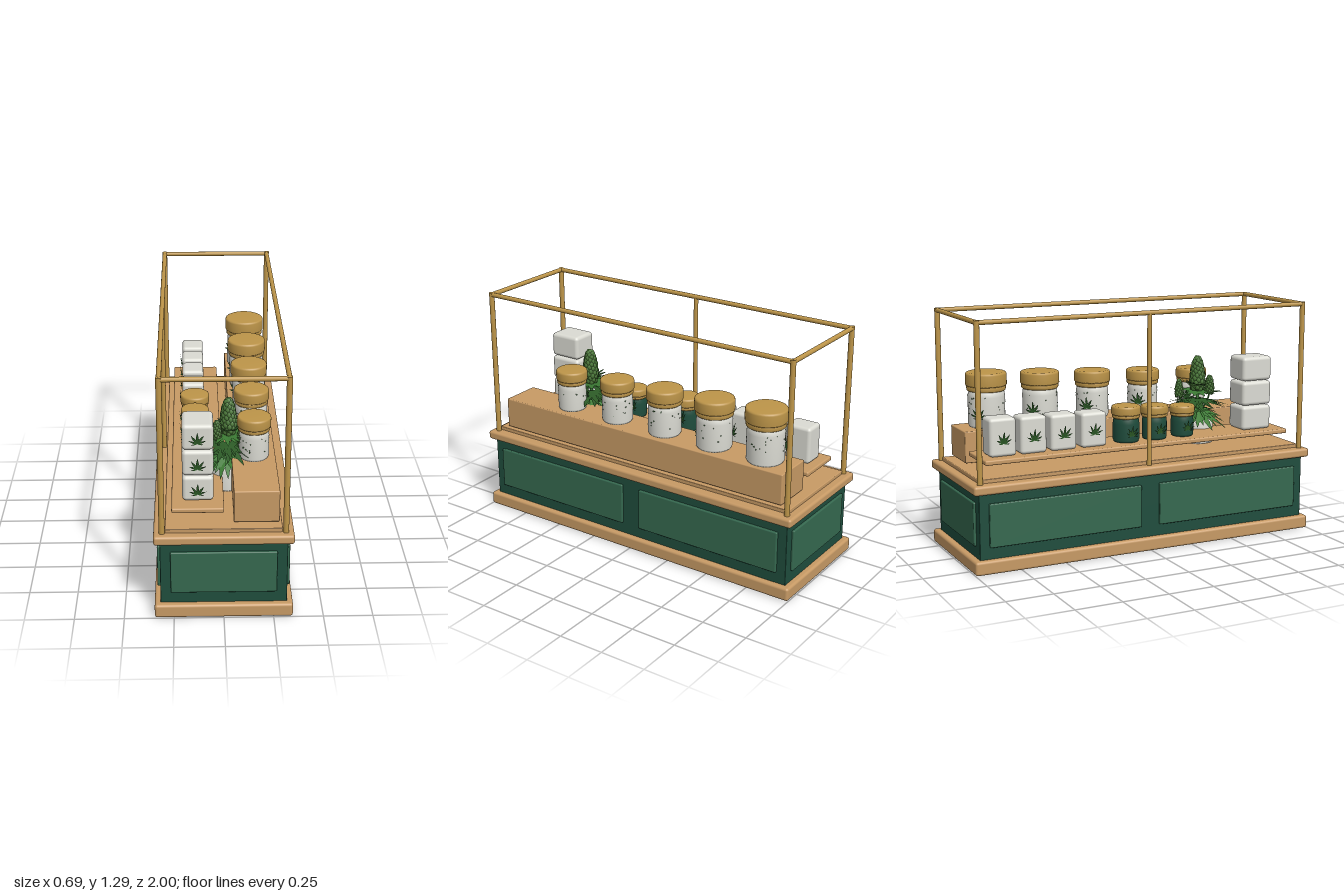
import * as THREE from 'three';
import { mergeGeometries } from 'three/addons/utils/BufferGeometryUtils.js';
import { RoundedBoxGeometry } from 'three/addons/geometries/RoundedBoxGeometry.js';

const mat = (name, color, extra = {}) => {
  const m = new THREE.MeshStandardMaterial({ color, ...extra });
  m.name = name;
  return m;
};

export function createModel() {
  const wood = mat('wood', 0xc79a65);
  const gold = mat('brass', 0xbd9549);
  const green = mat('dark green', 0x1f4d3d);
  const panelGreen = mat('panel green', 0x35684f);
  const white = mat('ceramic white', 0xdbdbd3);
  const leafGreen = mat('leaf green', 0x3c7a34, { side: THREE.DoubleSide });
  const darkLeaf = mat('emblem green', 0x2c5a26, { side: THREE.DoubleSide });
  const budGreen = mat('bud green', 0x4b7a38);

  const root = new THREE.Group();
  root.name = 'displayCounter';
  let seed = 7;
  const rand = () => (seed = (seed * 16807) % 2147483647) / 2147483647;

  const add = (name, geo, material, x = 0, y = 0, z = 0, parent = root) => {
    const m = new THREE.Mesh(geo, material);
    m.name = name;
    m.position.set(x, y, z);
    parent.add(m);
    return m;
  };
  // Rounded box given by its limits on each axis
  const block = (name, material, [x0, x1], [y0, y1], [z0, z1], r = 0.008) =>
    add(name, new RoundedBoxGeometry(x1 - x0, y1 - y0, z1 - z0, 3, r), material,
      (x0 + x1) / 2, (y0 + y1) / 2, (z0 + z1) / 2);

  // Cabinet
  block('plinth', wood, [-0.347, 0.347], [0, 0.073], [-1, 1], 0.014);
  block('cabinetBody', green, [-0.317, 0.317], [0.07, 0.42], [-0.967, 0.967], 0.004);
  block('countertop', wood, [-0.347, 0.347], [0.416, 0.465], [-1, 1], 0.014);
  block('counterInlay', wood, [-0.29, 0.29], [0.46, 0.485], [-0.955, 0.955], 0.004);
  for (const s of [-1, 1]) {
    block('endPanel', panelGreen, [-0.265, 0.265], [0.135, 0.365], [s * 0.967 - 0.013, s * 0.967 + 0.013], 0.006);
    for (const t of [-1, 1]) {
      block('sidePanel', panelGreen, [s * 0.317 - 0.015, s * 0.317 + 0.015], [0.135, 0.365],
        [t * 0.485 - 0.43, t * 0.485 + 0.43], 0.006);
    }
  }

  // Brass frame
  const bar = (name, a, b, r = 0.0145) => {
    const from = new THREE.Vector3(...a), to = new THREE.Vector3(...b);
    const m = add(name, new THREE.CylinderGeometry(r, r, from.distanceTo(to), 16), gold);
    m.position.copy(from).add(to).multiplyScalar(0.5);
    m.quaternion.setFromUnitVectors(new THREE.Vector3(0, 1, 0), to.sub(from).normalize());
  };
  const fx = 0.305, fz = 0.955, top = 1.282;
  for (const s of [-1, 1]) {
    for (const t of [-1, 1]) bar('cornerPost', [s * fx, 0.46, t * fz], [s * fx, 1.293, t * fz]);
    bar('sideRail', [s * fx, top, -fz], [s * fx, top, fz], 0.0125);
    bar('endRail', [-fx, top, s * fz], [fx, top, s * fz], 0.0125);
  }
  bar('middlePost', [-fx, 0.46, 0], [-fx, top, 0], 0.0125);

  // Display levels
  block('riser', wood, [0.05, 0.277], [0.493, 0.663], [-0.905, 0.905], 0.006);
  block('shelf', wood, [-0.257, 0.003], [0.545, 0.571], [-0.905, 0.905], 0.008);

  // Seven-bladed leaf, unit height, growing towards +y and tipped forward
  const leafGeometry = (spread, curl) => {
    const blades = [];
    for (let i = -3; i <= 3; i++) {
      const len = [1, 0.9, 0.72, 0.48][Math.abs(i)], w = len * 0.11;
      const s = new THREE.Shape();
      s.moveTo(0, 0);
      const steps = 5;
      for (let side = 1; side >= -1; side -= 2) {
        for (let k = 1; k <= steps; k++) {
          const u = (side > 0 ? k : steps - k) / steps;
          const half = w * Math.sin(Math.PI * Math.pow(u, 0.8));
          if (side > 0 && k < steps) s.lineTo(half * 0.75, len * (u - 0.03));
          s.lineTo(side * half, len * u);
        }
      }
      const g = new THREE.ShapeGeometry(s);
      g.rotateX(curl);
      g.rotateZ(-i * spread);
      blades.push(g);
    }
    return mergeGeometries(blades);
  };
  const emblemGeo = leafGeometry(0.55, 0.22);
  const fanGeo = leafGeometry(0.5, 0.12);
  const emblem = (x, y, z, yaw, size) => {
    const m = add('leafEmblem', emblemGeo, darkLeaf, x, y, z);
    m.scale.setScalar(size);
    m.rotation.y = yaw;
  };

  // Stack of cartons, leaf on the front
  for (let i = 0; i < 3; i++) {
    const y = 0.572 + i * 0.139;
    block('stackedCarton', white, [-0.203, -0.048], [y, y + 0.135], [0.645, 0.83], 0.02);
    emblem(-0.126, y + 0.038, 0.832, 0, 0.068);
  }
  // Row of cartons, leaf on the outer side
  [-0.787, -0.617, -0.447, -0.272].forEach((z, i) => {
    block('carton', white, [-0.204, -0.083], [0.571, 0.772 - i * 0.005], [z - 0.073, z + 0.073], 0.018);
    emblem(-0.206, 0.64, z, -Math.PI / 2, 0.068);
  });

  // Jar with a stepped lid; r is the lid radius
  const lathe = (pts) => new THREE.LatheGeometry(pts.map(p => new THREE.Vector2(...p)), 40);
  const jar = (name, bodyMat, x, y, z, r, h) => {
    const g = new THREE.Group();
    g.name = name;
    g.position.set(x, y, z);
    root.add(g);
    const b = r * 0.9, neck = h * 0.66, mid = h * 0.75;
    add('jarBody', lathe([[0, 0], [b * 0.93, 0], [b, 0.012], [b, neck - 0.03],
      [b * 0.97, neck - 0.01], [b * 0.9, neck + 0.005]]), bodyMat, 0, 0, 0, g);
    add('lidCollar', lathe([[0, neck], [r * 0.9, neck], [r * 0.94, neck + 0.004],
      [r * 0.96, mid - 0.004], [r * 0.92, mid]]), gold, 0, 0, 0, g);
    add('lid', lathe([[0, mid], [r * 0.95, mid], [r, mid + 0.006], [r, h - 0.012],
      [r * 0.97, h - 0.004], [r * 0.9, h], [0, h]]), gold, 0, 0, 0, g);
    return { g, b, neck };
  };
  [[-0.74, 0.111, 0.957], [-0.43, 0.107, 0.94], [-0.115, 0.1, 0.923], [0.2, 0.094, 0.906], [0.515, 0.087, 0.893]]
    .forEach(([z, r, yTop]) => {
      const { g, b, neck } = jar('largeJar', white, 0.165, 0.663, z, r, yTop - 0.663);
      emblem(0.165 - b * 0.75, 0.72, z - b * 0.7, -Math.PI * 0.74, 0.07);
      // Speckles scattered around the jar wall
      const dots = [];
      for (let i = 0; i < 26; i++) {
        const a = rand() * Math.PI * 2, s = 0.002 + rand() * 0.0025;
        dots.push(new THREE.IcosahedronGeometry(s, 0)
          .translate(Math.sin(a) * b, 0.05 + rand() * (neck - 0.07), Math.cos(a) * b));
      }
      add('speckles', mergeGeometries(dots), darkLeaf, 0, 0, 0, g);
    });
  [[-0.053, 0.08, 0.767], [0.12, 0.076, 0.756], [0.293, 0.07, 0.742]].forEach(([z, r, yTop]) => {
    const { b } = jar('smallJar', green, -0.135, 0.571, z, r, yTop - 0.571);
    emblem(-0.137 - b, 0.61, z, -Math.PI / 2, 0.06);
  });

  // Potted plant
  const px = 0.03, pz = 0.485;
  const plant = new THREE.Group();
  plant.name = 'pottedPlant';
  plant.position.set(px, 0, pz);
  root.add(plant);
  add('pot', lathe([[0, 0.485], [0.085, 0.485], [0.092, 0.495], [0.086, 0.6], [0.08, 0.61], [0, 0.61]]),
    white, 0, 0, 0, plant);
  add('stem', new THREE.CylinderGeometry(0.007, 0.011, 0.25, 10), leafGreen, 0, 0.72, 0, plant);

  // Buds: overlapping scales set in a spiral on a tapering core
  const bud = (x, y0, y1, z, r) => {
    const h = y1 - y0, n = Math.round(h * 480), parts = [];
    for (let i = 0; i < n; i++) {
      const u = i / (n - 1), a = i * 2.4;
      const rad = r * 0.75 * Math.sqrt(1 - u * u * 0.97) * (0.75 + 0.25 * Math.min(1, u * 4));
      const g = new THREE.SphereGeometry(r * 0.36, 7, 5);
      g.scale(1, 1.25, 1);
      g.translate(Math.sin(a) * rad, y0 + u * (h - r * 0.45), Math.cos(a) * rad);
      parts.push(g);
    }
    const core = new THREE.SphereGeometry(1, 12, 10).scale(r * 0.7, h * 0.48, r * 0.7);
    parts.push(core.translate(0, (y0 + y1) / 2, 0));
    add('bud', mergeGeometries(parts), budGreen, x, 0, z, plant);
    bar2(x, y0, z);
  };
  // Side branch from the stem to a bud
  const bar2 = (x, y, z) => {
    if (Math.hypot(x, z) < 0.02) return;
    const path = new THREE.QuadraticBezierCurve3(new THREE.Vector3(0, 0.65, 0),
      new THREE.Vector3(x, y - 0.06, z), new THREE.Vector3(x, y + 0.02, z));
    add('branch', new THREE.TubeGeometry(path, 8, 0.005, 6), leafGreen, 0, 0, 0, plant);
  };
  bud(0.005, 0.79, 0.98, 0, 0.045);
  bud(-0.055, 0.77, 0.875, 0.045, 0.027);
  bud(0.02, 0.75, 0.852, -0.11, 0.025);
  bud(0.07, 0.74, 0.825, 0.03, 0.024);

  // Tiers of fan leaves: [count, height, size, droop]
  [[8, 0.68, 0.17, 0.45], [8, 0.735, 0.17, 0.18], [7, 0.78, 0.13, -0.1], [6, 0.81, 0.08, -0.5]]
    .forEach(([n, y, size, droop], tier) => {
      for (let i = 0; i < n; i++) {
        const a = (i / n) * Math.PI * 2 + tier * 0.45;
        const leaf = add('fanLeaf', fanGeo, tier % 2 ? darkLeaf : leafGreen,
          Math.sin(a) * 0.02, y, Math.cos(a) * 0.02, plant);
        leaf.rotation.set(Math.PI / 2 + droop + (rand() - 0.5) * 0.25, a, 0, 'YXZ');
        leaf.scale.setScalar(size * (0.9 + rand() * 0.2));
      }
    });

  return root;
}
